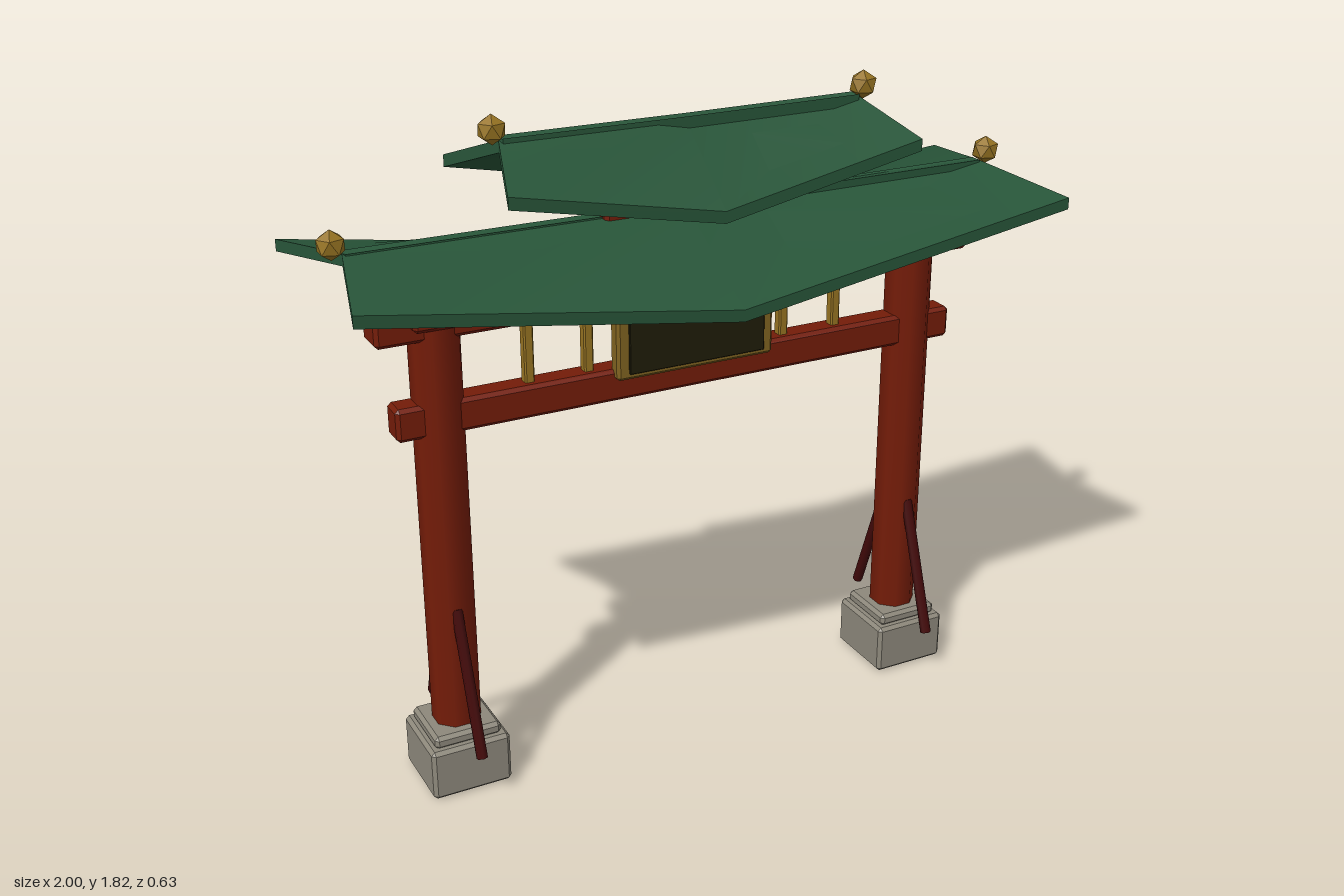
import * as THREE from 'three';
import { ConvexGeometry } from 'three/addons/geometries/ConvexGeometry.js';

export function createModel() {
  const model = new THREE.Group();
  model.name = 'gate';
  const mat = (name, color, side = THREE.FrontSide) => {
    const m = new THREE.MeshStandardMaterial({ color, side });
    m.name = name;
    return m;
  };
  const red = mat('red paint', 0x741c08);
  const darkRed = mat('dark red wood', 0x420909);
  const stone = mat('grey stone', 0x8d887b);
  const green = mat('green roof', 0x285539, THREE.DoubleSide);
  const gold = mat('old gold', 0x967322);
  const frameGold = mat('dark gold', 0x806320);
  const dark = mat('dark plaque', 0x1f1d08);

  const add = (name, geometry, material, x = 0, y = 0, z = 0) => {
    const mesh = new THREE.Mesh(geometry, material);
    mesh.name = name;
    mesh.position.set(x, y, z);
    model.add(mesh);
    return mesh;
  };
  // Box with all edges chamfered, given by its bottom and top heights
  const block = (name, material, w, y0, y1, d, x = 0, z = 0, r = 0.01) => {
    const half = [w / 2, (y1 - y0) / 2, d / 2];
    const points = [];
    for (let corner = 0; corner < 8; corner++) {
      for (let axis = 0; axis < 3; axis++) {
        const p = half.map((h, i) => (corner & (1 << i) ? 1 : -1) * (i === axis ? h : h - r));
        points.push(new THREE.Vector3(...p));
      }
    }
    return add(name, new ConvexGeometry(points), material, x, (y0 + y1) / 2, z);
  };

  // Six-sided bar between two points
  const bar = (name, material, a, b, radius) => {
    const dir = b.clone().sub(a);
    const mesh = add(name, new THREE.CylinderGeometry(radius, radius, dir.length(), 6), material);
    mesh.position.copy(a).add(b).multiplyScalar(0.5);
    mesh.quaternion.setFromUnitVectors(new THREE.Vector3(0, 1, 0), dir.normalize());
  };

  // Eight-sided posts with footings, caps and braces
  const postShape = new THREE.CylinderGeometry(0.0665, 0.0665, 1.2, 8).rotateY(Math.PI / 8);
  for (const s of [-1, 1]) {
    const x = s * 0.708;
    block('footing', stone, 0.224, 0, 0.147, 0.224, x);
    block('plinth', stone, 0.188, 0.143, 0.18, 0.188, x);
    add('post', postShape, red, x, 0.77, 0);
    block('postCap', red, 0.144, 1.318, 1.417, 0.144, x);
    for (const f of [-1, 1]) {
      bar('brace', darkRed, new THREE.Vector3(x, 0.15, f * 0.188), new THREE.Vector3(x, 0.532, f * 0.052), 0.0155);
    }
  }

  // Cross beams and the block carrying the upper roof
  block('upperBeam', red, 1.745, 1.285, 1.354, 0.095);
  block('lowerBeam', red, 1.66, 1.025, 1.115, 0.077);
  block('roofBlock', red, 0.498, 1.345, 1.552, 0.077);

  // Slats and framed plaque between the beams
  for (const x of [-0.46, -0.293, 0.293, 0.46]) {
    block('slat', gold, 0.027, 1.105, 1.295, 0.03, x, 0, 0.004);
  }
  block('plaqueFrame', frameGold, 0.465, 1.088, 1.297, 0.045, 0, 0.0375, 0.008);
  block('plaque', dark, 0.402, 1.106, 1.277, 0.009, 0, 0.0645, 0.002);

  // One roof slope: a slab whose eave dips to the middle
  const slope = (p) => {
    const g = new THREE.BoxGeometry(2, 1, 1, 2, 1, 1);
    const pos = g.attributes.position;
    for (let i = 0; i < pos.count; i++) {
      const side = pos.getX(i);
      const [endX, endY, midY, z] = pos.getZ(i) > 0 ? p.eave : p.ridge;
      const y = side === 0 ? midY : endY;
      pos.setXYZ(i, side * endX, pos.getY(i) > 0 ? y : y - 0.032, z);
    }
    g.computeVertexNormals();
    return g;
  };

  // Each profile row: end x, end height, middle height, z; slopes cross at the ridge
  const roofs = [
    { name: 'lowerRoof', ridge: [0.918, 1.53, 1.528, -0.018], eave: [1, 1.486, 1.332, 0.315], ball: [0.948, 1.552] },
    { name: 'upperRoof', ridge: [0.508, 1.76, 1.758, -0.018], eave: [0.58, 1.675, 1.56, 0.215], ball: [0.53, 1.781] },
  ];
  // Finial with one corner pointing up
  const finial = new THREE.IcosahedronGeometry(0.039).rotateZ(Math.atan(2 / (1 + Math.sqrt(5))));
  for (const roof of roofs) {
    const g = slope(roof);
    add(roof.name + 'Front', g, green);
    add(roof.name + 'Back', g, green).rotation.y = Math.PI;
    for (const s of [-1, 1]) add('finial', finial, gold, s * roof.ball[0], roof.ball[1], 0);
  }
  return model;
}
